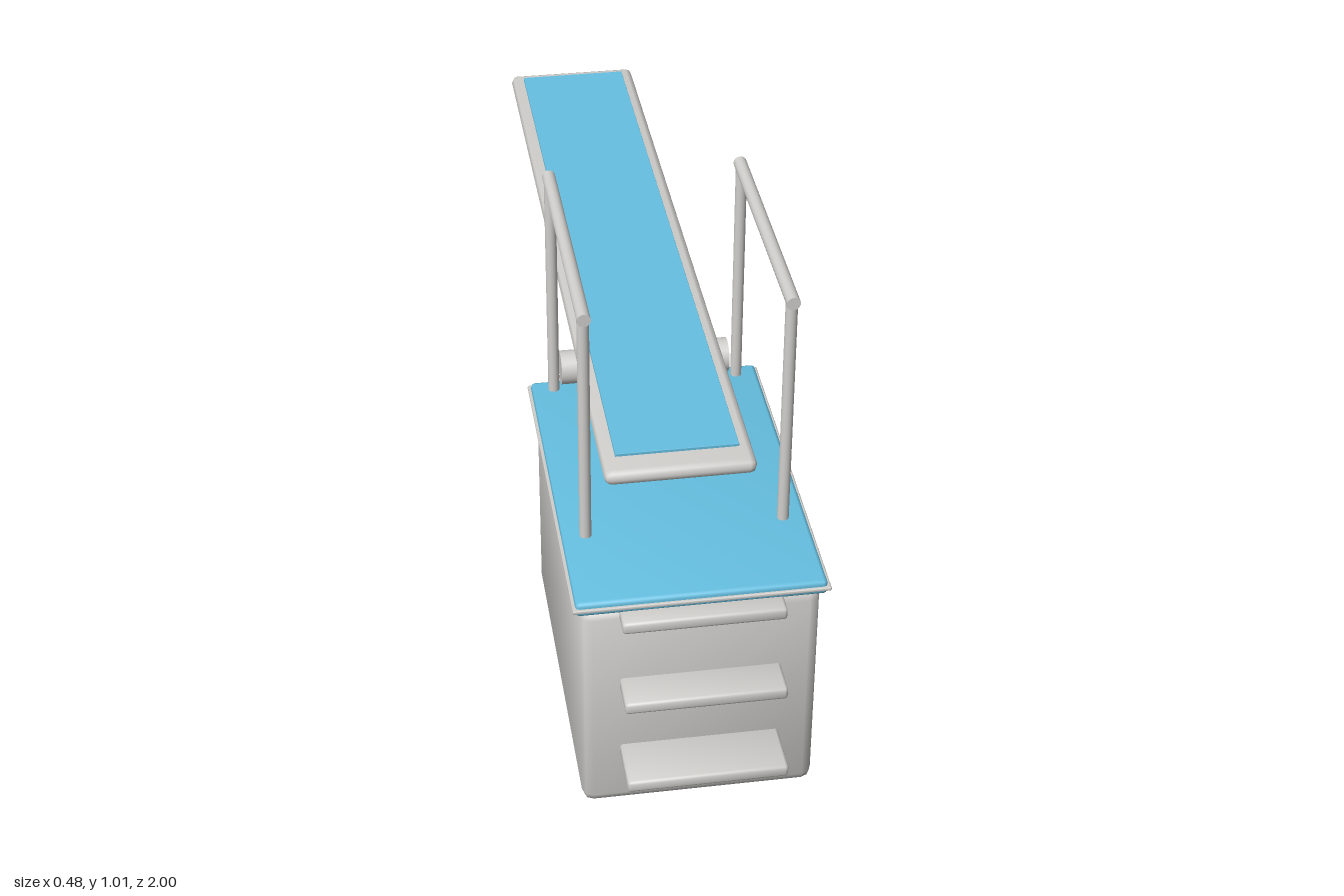
import * as THREE from 'three';
import { RoundedBoxGeometry } from 'three/addons/geometries/RoundedBoxGeometry.js';

const grey = new THREE.MeshStandardMaterial({ name: 'pale grey', color: 0xd0cfcc });
const blue = new THREE.MeshStandardMaterial({ name: 'pool blue', color: 0x66c0e2 });

// Bevelled box between two corners; normals lean outwards for a soft, smooth-shaded look
function softBox(name, material, min, max, bevel, lean = 0.25) {
  const size = max.map((v, i) => v - min[i]);
  const geometry = new RoundedBoxGeometry(...size, 1, bevel);
  const p = geometry.attributes.position;
  const n = geometry.attributes.normal;
  const v = new THREE.Vector3();
  for (let i = 0; i < p.count; i++) {
    v.fromBufferAttribute(n, i);
    v.x += lean * Math.sign(p.getX(i));
    v.y += lean * Math.sign(p.getY(i));
    v.z += lean * Math.sign(p.getZ(i));
    v.normalize();
    n.setXYZ(i, v.x, v.y, v.z);
  }
  const mesh = new THREE.Mesh(geometry, material);
  mesh.name = name;
  mesh.position.set(...max.map((m, i) => (m + min[i]) / 2));
  return mesh;
}

// Round bar between two points
function bar(name, from, to, radius, sides = 16) {
  const a = new THREE.Vector3(...from);
  const b = new THREE.Vector3(...to);
  const mesh = new THREE.Mesh(new THREE.CylinderGeometry(radius, radius, a.distanceTo(b), sides), grey);
  mesh.name = name;
  mesh.position.copy(a).add(b).multiplyScalar(0.5);
  mesh.quaternion.setFromUnitVectors(new THREE.Vector3(0, 1, 0), b.sub(a).normalize());
  return mesh;
}

export function createModel() {
  const model = new THREE.Group();
  model.name = 'divingBoard';

  // Pedestal
  model.add(softBox('pedestal', grey, [-0.225, 0, 0.182], [0.225, 0.475, 0.893], 0.021));

  // Platform deck with a thin edge trim
  model.add(softBox('deck', blue, [-0.235, 0.472, 0.172], [0.235, 0.502, 0.9], 0.008, 0.1));
  model.add(softBox('deckTrim', grey, [-0.241, 0.483, 0.167], [0.241, 0.491, 0.905], 0.003, 0));

  // Steps, each lower one reaching further forward
  const steps = new THREE.Group();
  steps.name = 'steps';
  [[0.133, 1.0], [0.298, 0.968], [0.463, 0.936]].forEach(([y, front]) => {
    steps.add(softBox('step', grey, [-0.153, y - 0.0125, 0.87], [0.153, y + 0.0125, front], 0.006));
  });
  model.add(steps);

  // Roller under the board
  model.add(bar('roller', [-0.174, 0.539, 0.182], [0.174, 0.539, 0.182], 0.035, 24));

  // Springboard and its non-slip mat
  model.add(softBox('springboard', grey, [-0.147, 0.58, -1.0], [0.147, 0.611, 0.66], 0.014, 0.1));
  model.add(softBox('mat', blue, [-0.12, 0.608, -0.968], [0.12, 0.617, 0.605], 0.001, 0));

  // Handrails
  for (const side of [1, -1]) {
    const x = side * 0.19;
    const rail = new THREE.Group();
    rail.name = side > 0 ? 'leftHandrail' : 'rightHandrail';
    rail.add(bar('frontPost', [x, 0.49, 0.696], [x, 0.993, 0.696], 0.0115));
    rail.add(bar('backPost', [x, 0.49, 0.203], [x, 0.993, 0.203], 0.0115));
    rail.add(bar('topRail', [x, 0.994, 0.186], [x, 0.994, 0.713], 0.013));
    model.add(rail);
  }
  return model;
}
